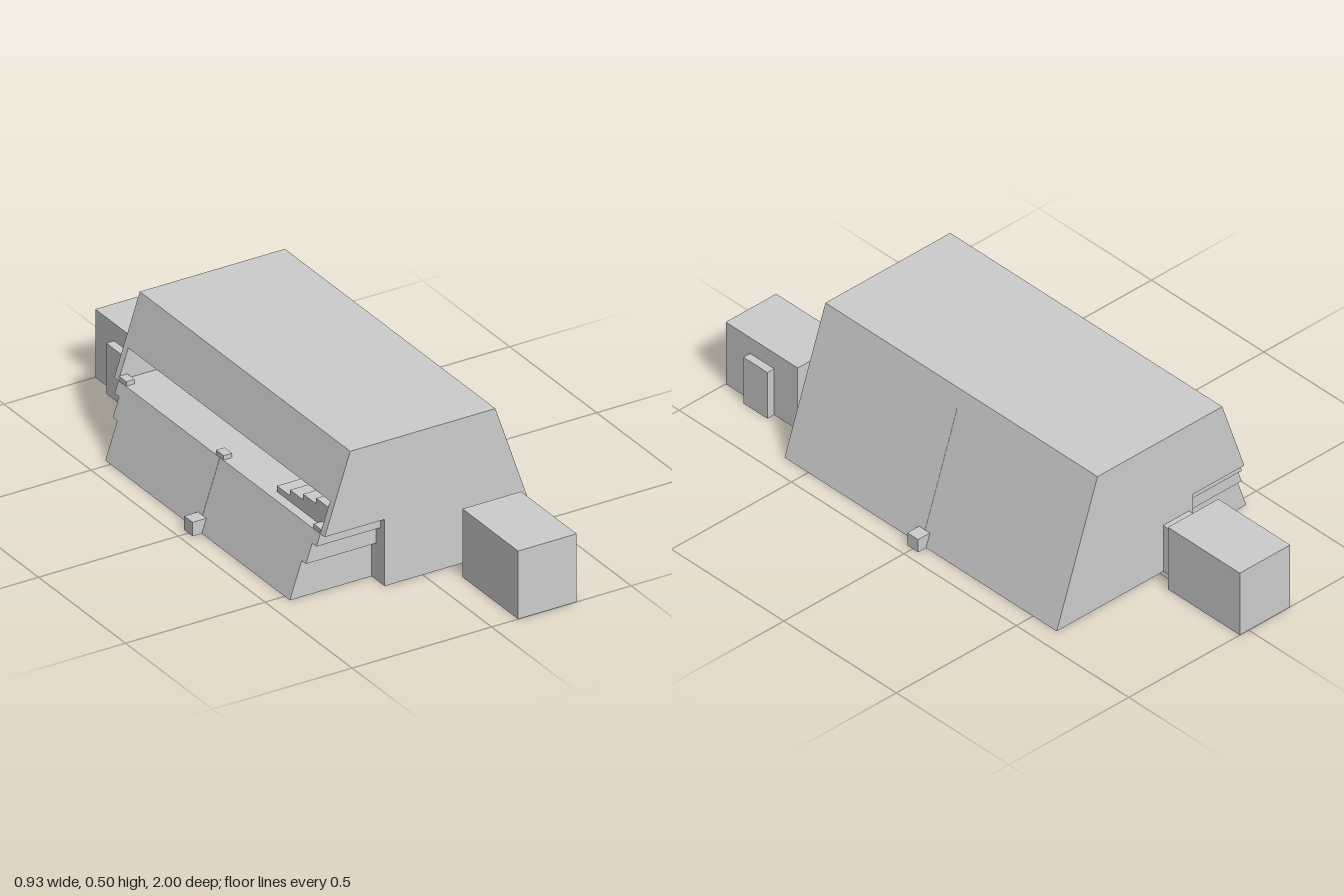
import * as THREE from 'three';

export function createModel() {
  const model = new THREE.Group();
  const grey = new THREE.MeshStandardMaterial({ color: 0xcccccc });
  grey.name = 'light grey';

  const add = (name, geometry) => {
    const mesh = new THREE.Mesh(geometry, grey);
    mesh.name = name;
    model.add(mesh);
  };
  // Box given by its limits
  const box = (name, x0, x1, y0, y1, z0, z1) =>
    add(name, new THREE.BoxGeometry(x1 - x0, y1 - y0, z1 - z0)
      .translate((x0 + x1) / 2, (y0 + y1) / 2, (z0 + z1) / 2));
  // Cross-section in x and y, extruded along z
  const prism = (name, points, z0, z1) => {
    const shape = new THREE.Shape(points.map(([x, y]) => new THREE.Vector2(x, y)));
    add(name, new THREE.ExtrudeGeometry(shape, { depth: z1 - z0, bevelEnabled: false })
      .translate(0, 0, z0));
  };
  // Half width of the sloping hull at height y
  const hull = (y) => 0.43 - 0.34 * y;

  const inner = -0.137, sill = 0.23, lintel = 0.333, end = 0.605;

  // Main hall with a long opening along its right side
  prism('hall', [
    [hull(0), 0], [hull(0.5), 0.5], [-hull(0.5), 0.5],
    [-hull(lintel), lintel], [inner, lintel], [inner, 0],
  ], -end, end);

  // Stepped base below the opening, each layer longer than the one under it
  const layers = [[0, 0.125, 0.53], [0.125, 0.19, 0.555], [0.19, sill, 0.58]];
  for (const [y0, y1, z] of layers) {
    prism('baseLayer', [[inner, y0], [inner, y1], [-hull(y1), y1], [-hull(y0), y0]], -z, z);
  }

  // Thin walls closing the ends of the opening
  for (const s of [-1, 1]) {
    const z = s * 0.5925;
    prism('endWall', [[inner, sill], [inner, lintel], [-hull(lintel), lintel], [-hull(sill), sill]],
      z - 0.0125, z + 0.0125);
  }

  // Low steps inside the opening
  for (let i = 0; i < 4; i++) {
    box('innerStep', -0.32, inner, sill, sill + 0.02 * (i + 1), 0.28 + i * 0.075, 0.58);
  }

  // Small posts on the sill
  for (const z of [-0.56, 0, 0.56]) {
    box('sillPost', -0.35, -0.32, sill, sill + 0.015, z - 0.022, z + 0.022);
  }

  // Foot blocks and slender ribs on both long sides
  for (const s of [-1, 1]) {
    const xs = [s * 0.4, s * 0.463].sort((a, b) => a - b);
    box('sideFoot', xs[0], xs[1], 0, 0.048, -0.024, 0.024);
    const top = s > 0 ? 0.44 : sill;
    const out = 0.001;
    prism('sideRib', [
      [s * (hull(0.04) - 0.01), 0.04], [s * (hull(0.04) + out), 0.04],
      [s * (hull(top) + out), top], [s * (hull(top) - 0.01), top],
    ], -0.003, 0.003);
  }

  // Entrance blocks at both ends, the rear one turned half round
  for (const [s, x] of [[1, 0.2], [-1, -0.068]]) {
    const part = (name, a, b, h, c, d) => {
      const xs = [x + s * a, x + s * b].sort((p, q) => p - q);
      const zs = [s * c, s * d].sort((p, q) => p - q);
      box(name, xs[0], xs[1], 0, h, zs[0], zs[1]);
    };
    part('entranceBlock', -0.105, 0.105, 0.235, 0.68, 1);
    part('passage', -0.054, 0.054, 0.175, 0.6, 0.68);
    part('entranceDoor', 0.105, 0.133, 0.175, 0.785, 0.892);
  }

  return model;
}
